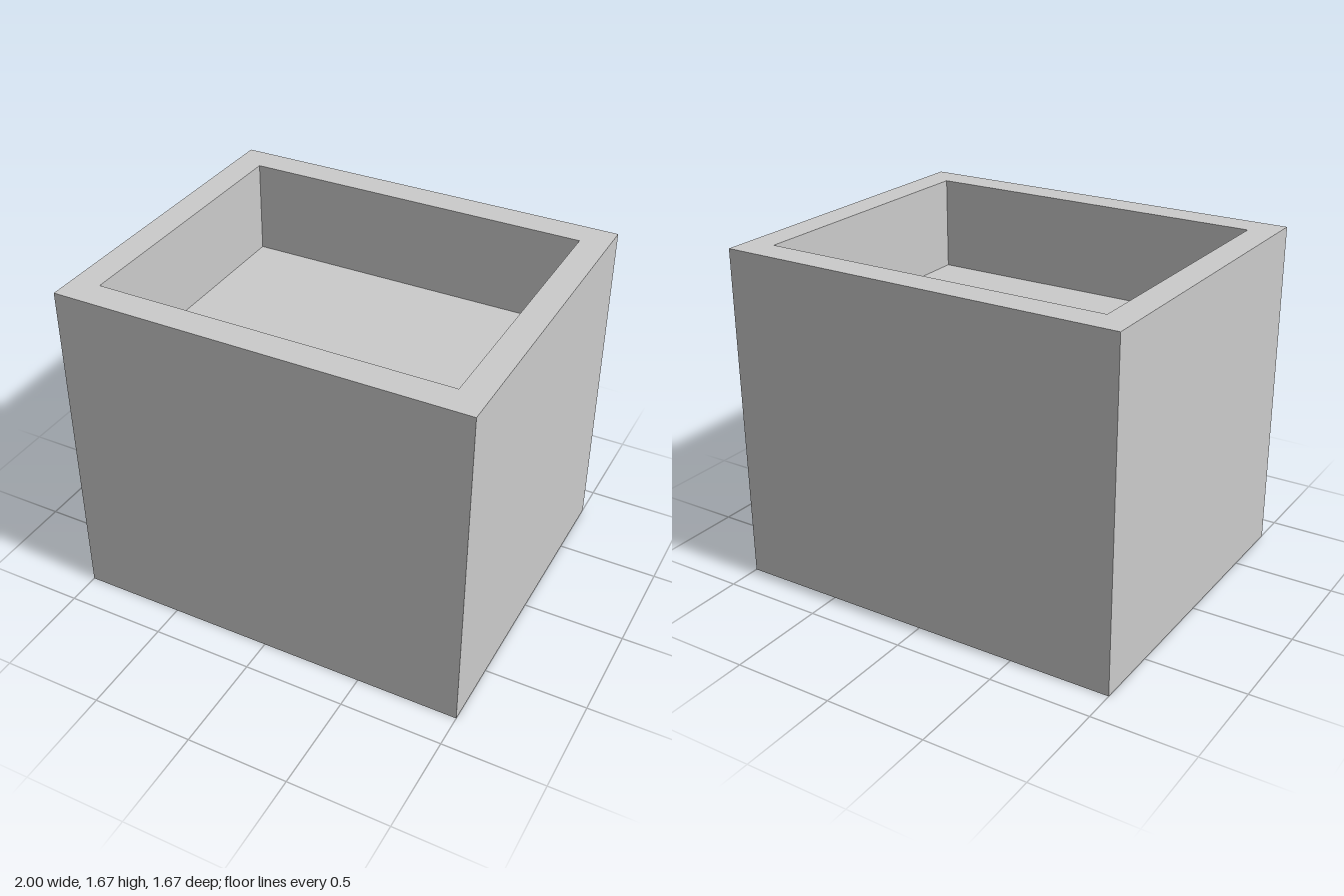
import * as THREE from 'three';

// Rectangular rings: half width, half depth, height
const RINGS = [
  [1, 0.833, 0],          // outer bottom
  [1, 0.833, 1.667],      // outer top
  [0.862, 0.687, 1.667],  // inner rim
  [0.862, 0.687, 1.2],    // recess floor
];
const CORNERS = [[1, 1], [1, -1], [-1, -1], [-1, 1]];

// Skin consecutive rings and cap both ends, with flat faces
function skinRings(rings) {
  const positions = [];
  const index = [];
  for (const [hx, hz, y] of rings) {
    for (const [sx, sz] of CORNERS) positions.push(sx * hx, y, sz * hz);
  }
  for (let r = 0; r < rings.length - 1; r++) {
    for (let i = 0; i < 4; i++) {
      const a = r * 4 + i;
      const b = r * 4 + (i + 1) % 4;
      index.push(a, b, b + 4, a, b + 4, a + 4);
    }
  }
  const t = (rings.length - 1) * 4;
  index.push(0, 2, 1, 0, 3, 2);                      // underside
  index.push(t, t + 1, t + 2, t, t + 2, t + 3);      // recess floor
  const indexed = new THREE.BufferGeometry();
  indexed.setAttribute('position', new THREE.Float32BufferAttribute(positions, 3));
  indexed.setIndex(index);
  const geometry = indexed.toNonIndexed();
  geometry.computeVertexNormals();
  return geometry;
}

export function createModel() {
  const group = new THREE.Group();
  group.name = 'planter';

  // Solid block with a shallow recess in the top
  const box = new THREE.Mesh(
    skinRings(RINGS),
    new THREE.MeshStandardMaterial({ color: 0xcccccc, flatShading: true })
  );
  box.name = 'planterBox';
  group.add(box);

  return group;
}
